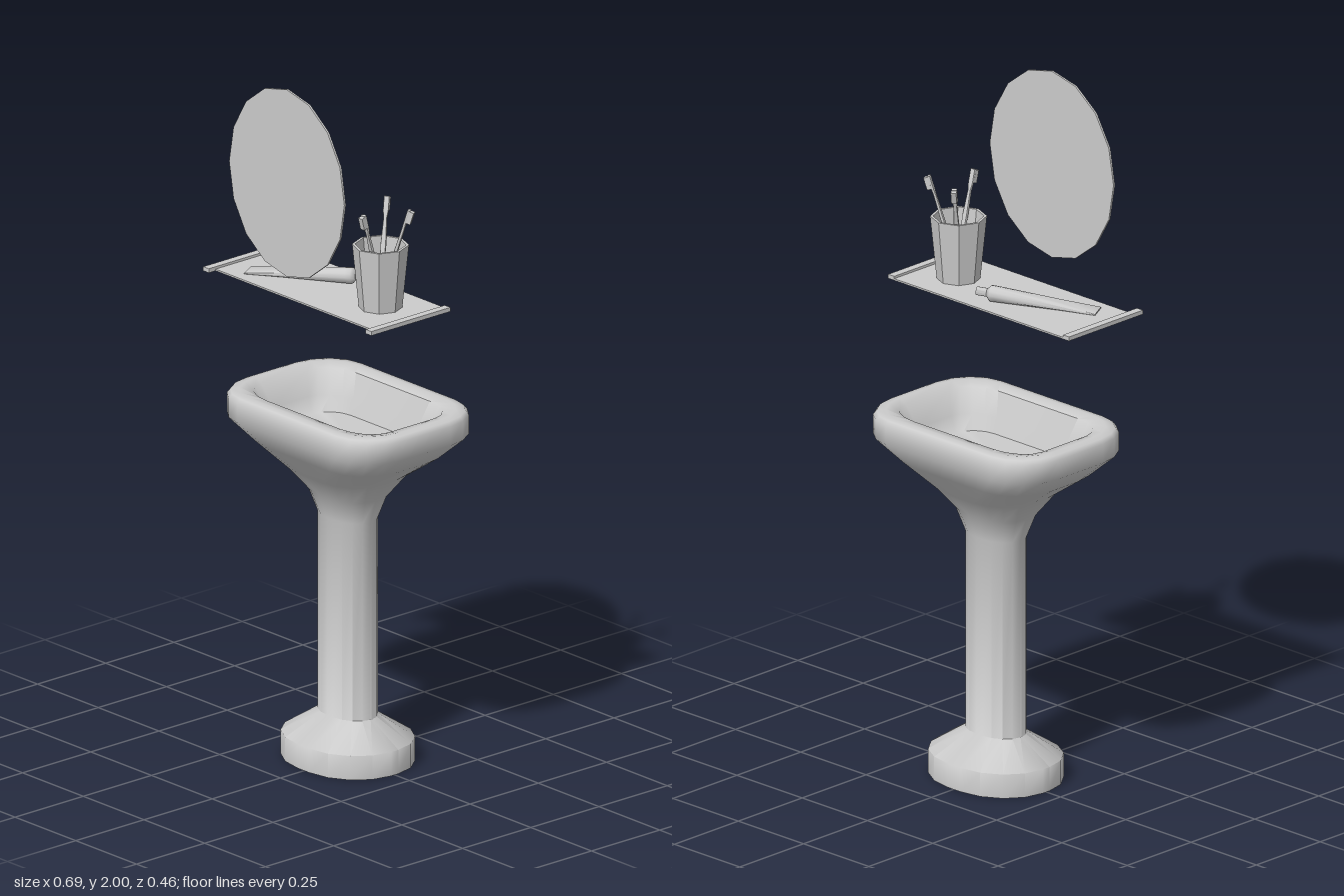
import * as THREE from 'three';
import { toCreasedNormals } from 'three/addons/utils/BufferGeometryUtils.js';

const grey = new THREE.MeshStandardMaterial({ color: 0xcccccc });

function mesh(name, geometry) {
  const m = new THREE.Mesh(geometry, grey);
  m.name = name;
  return m;
}

function box(name, w, h, d, x, y, z) {
  const m = mesh(name, new THREE.BoxGeometry(w, h, d));
  m.position.set(x, y, z);
  return m;
}

// Rounded-rectangle outline, counter-clockwise seen from +y
function outline(y, hx, hz, rx, rz, seg) {
  const pts = [];
  for (let q = 0; q < 4; q++) {
    const sx = q === 0 || q === 3 ? 1 : -1, sz = q < 2 ? -1 : 1;
    for (let i = 0; i <= seg; i++) {
      const a = (q + i / seg) * Math.PI / 2;
      pts.push([sx * (hx - rx) + rx * Math.cos(a), y, sz * (hz - rz) - rz * Math.sin(a)]);
    }
  }
  return pts;
}

// Skin through sections [y, halfX, halfZ, cornerX, cornerZ], closed at both ends
function loft(sections, seg = 4, crease = 1.0) {
  const n = 4 * (seg + 1), pos = [], idx = [];
  for (const s of sections) pos.push(...outline(...s, seg).flat());
  for (let k = 0; k < sections.length - 1; k++) {
    for (let i = 0; i < n; i++) {
      const a = k * n + i, b = k * n + (i + 1) % n;
      idx.push(a, b, b + n, a, b + n, a + n);
    }
  }
  const last = (sections.length - 1) * n, c = pos.length / 3;
  pos.push(0, sections[0][0], 0, 0, sections.at(-1)[0], 0);
  for (let i = 0; i < n; i++) {
    const j = (i + 1) % n;
    idx.push(c, j, i, c + 1, last + i, last + j);
  }
  const g = new THREE.BufferGeometry();
  g.setAttribute('position', new THREE.Float32BufferAttribute(pos, 3));
  g.setIndex(idx);
  return toCreasedNormals(g, crease);
}

// Stand a group's y axis along the line between two points; its x axis stays level
function align(group, from, to) {
  const dir = to.clone().sub(from).normalize();
  const side = new THREE.Vector3(0, 1, 0).cross(dir).normalize();
  group.quaternion.setFromRotationMatrix(
    new THREE.Matrix4().makeBasis(side, dir, side.clone().cross(dir)));
  group.position.copy(from);
}

function makeBasin() {
  const basin = mesh('pedestalBasin', loft([
    // foot and column
    [0, 0.193, 0.163, 0.17, 0.15],
    [0.07, 0.193, 0.163, 0.17, 0.15],
    [0.135, 0.096, 0.066, 0.085, 0.064],
    [0.71, 0.096, 0.066, 0.085, 0.064],
    // flare of the bowl
    [0.78, 0.122, 0.088, 0.1, 0.08],
    [0.845, 0.168, 0.138, 0.12, 0.11],
    [0.913, 0.262, 0.186, 0.13, 0.13],
    [0.975, 0.325, 0.2275, 0.125, 0.14],
    // rim
    [1.03, 0.325, 0.2275, 0.125, 0.14],
    [1.042, 0.316, 0.219, 0.12, 0.13],
    [1.045, 0.296, 0.199, 0.115, 0.125],
    [1.038, 0.262, 0.165, 0.11, 0.08],
    // hollow
    [0.97, 0.235, 0.14, 0.1, 0.075],
    [0.93, 0.208, 0.125, 0.08, 0.07],
  ]));
  basin.position.x = -0.003;
  return basin;
}

function makeMirror() {
  const g = new THREE.CylinderGeometry(1, 1, 0.006, 16);
  g.rotateX(Math.PI / 2).scale(0.237, 0.2725, 1);
  const mirror = mesh('mirror', toCreasedNormals(g, 0.7));
  mirror.position.set(-0.002, 1.7275, 0.222);
  return mirror;
}

function makeShelf() {
  const shelf = new THREE.Group();
  shelf.name = 'shelf';
  shelf.add(box('shelfPlate', 0.65, 0.005, 0.265, 0, 1.3805, 0.0675));
  for (const s of [-1, 1]) {
    shelf.add(box('shelfEndBar', 0.023, 0.012, 0.29, s * 0.3345, 1.384, 0.08));
  }
  return shelf;
}

function makeTube() {
  const tube = new THREE.Group();
  tube.name = 'pasteTube';
  tube.add(mesh('tubeBody', loft([
    [0, 0.031, 0.002, 0.002, 0.002],
    [0.1, 0.029, 0.01, 0.02, 0.01],
    [0.29, 0.0235, 0.0225, 0.0235, 0.0225],
    [0.305, 0.0235, 0.0225, 0.0235, 0.0225],
    [0.316, 0.012, 0.012, 0.012, 0.012],
  ], 3)));
  tube.add(mesh('tubeCap', loft([
    [0.314, 0.012, 0.012, 0.012, 0.012],
    [0.346, 0.012, 0.012, 0.012, 0.012],
  ], 3)));
  align(tube, new THREE.Vector3(-0.255, 1.385, 0.142), new THREE.Vector3(0.015, 1.407, -0.005));
  return tube;
}

function makeCup() {
  // Eight-sided tumbler with a thick wall
  const profile = [[0, 0], [0.06, 0], [0.078, 0.182], [0.07, 0.182], [0.052, 0.01], [0, 0.01]];
  const g = new THREE.LatheGeometry(profile.map(p => new THREE.Vector2(...p)), 8);
  const cup = mesh('cup', toCreasedNormals(g, 0.3));
  cup.position.set(0.201, 1.383, 0.062);
  return cup;
}

function makeBrush(from, to) {
  const brush = new THREE.Group();
  brush.name = 'toothbrush';
  const len = from.distanceTo(to);
  brush.add(mesh('brushHandle', loft([
    [0, 0.004, 0.003, 0.003, 0.003],
    [len * 0.55, 0.008, 0.005, 0.004, 0.004],
    [len - 0.06, 0.005, 0.004, 0.003, 0.003],
    [len - 0.04, 0.008, 0.004, 0.003, 0.003],
    [len, 0.008, 0.004, 0.003, 0.003],
  ], 2)));
  brush.add(box('brushBristles', 0.015, 0.036, 0.013, 0, len - 0.02, 0.009));
  align(brush, from, to);
  return brush;
}

export function createModel() {
  const model = new THREE.Group();
  model.name = 'washstand';
  model.add(makeBasin(), makeMirror(), makeShelf(), makeTube(), makeCup());
  // Toothbrushes leaning out of the cup: foot x, z and head x, z
  for (const [x0, z0, x1, z1] of [
    [0.2, 0.066, 0.149, -0.008],
    [0.2, 0.066, 0.274, 0.021],
    [0.217, 0.066, 0.223, 0.143],
  ]) {
    model.add(makeBrush(new THREE.Vector3(x0, 1.395, z0), new THREE.Vector3(x1, 1.675, z1)));
  }
  return model;
}
